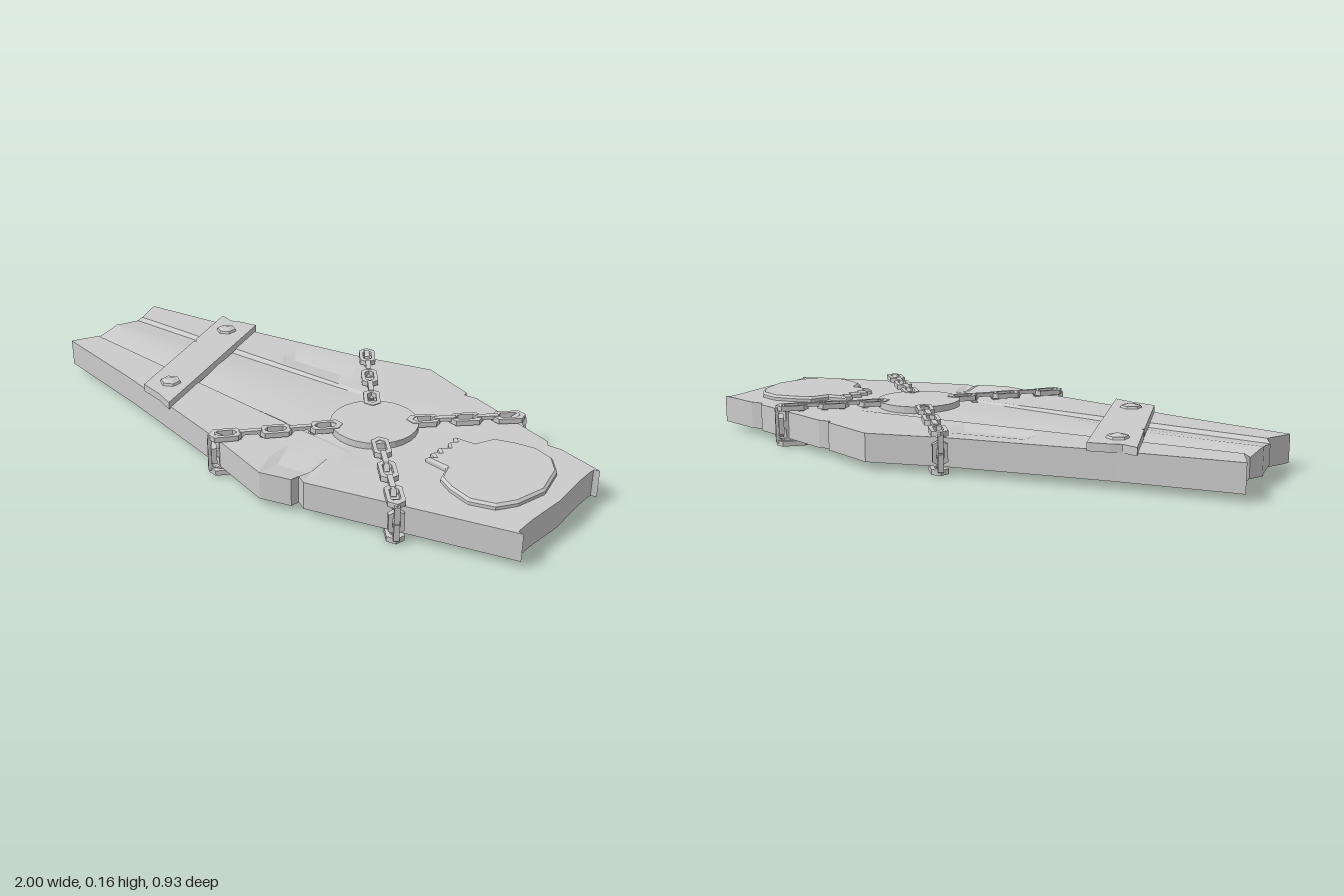
import * as THREE from 'three';
import { toCreasedNormals } from 'three/addons/utils/BufferGeometryUtils.js';

const mat = new THREE.MeshStandardMaterial({ color: 0xcccccc, side: THREE.DoubleSide });
const flat = new THREE.MeshStandardMaterial({ color: 0xcccccc, flatShading: true });
const Y0 = 0.032, Y1 = 0.128;

function addMesh(parent, name, geometry, material, x = 0, y = 0, z = 0) {
  const mesh = new THREE.Mesh(geometry, material);
  mesh.name = name;
  mesh.position.set(x, y, z);
  parent.add(mesh);
  return mesh;
}

// Piecewise linear lookup in a list of [x, value]
function lookup(list, x) {
  for (let i = 1; i < list.length; i++) {
    const [x0, a] = list[i - 1], [x1, b] = list[i];
    if (x <= x1) return a + (b - a) * (x - x0) / (x1 - x0);
  }
  return list[list.length - 1][1];
}

// Edge lines of the coffin outline, with chipped notches
const backEdge = [[-1, -0.22], [-0.6, -0.285], [-0.08, -0.39], [0.19, -0.47], [0.39, -0.402], [0.392, -0.384],
  [0.44, -0.39], [0.78, -0.287], [0.795, -0.265], [0.84, -0.27], [1, -0.23]];
const frontEdge = [[-1, 0.21], [-0.6, 0.28], [-0.06, 0.395], [0.19, 0.462], [0.295, 0.43], [0.3, 0.4],
  [0.335, 0.418], [1, 0.225]];

// Board lofted along x: each section is a row of columns from the back edge to the front edge
function boardGeometry() {
  const xs = new Set([...backEdge, ...frontEdge].map(p => p[0]));
  for (let i = 0; i <= 40; i++) xs.add(+(-1 + i * 0.05).toFixed(2));
  const stations = [...xs].sort((a, b) => a - b);
  const sections = stations.map((x, s) => {
    const groove = 0.1 + 0.055 * (x + 1);
    const depth = 0.014 * THREE.MathUtils.clamp((0.5 - x) / 0.9, 0, 1);
    const half = edge => {
      const e = Math.abs(edge), out = groove + 0.012;
      return [[e, 0], [e * 0.7 + out * 0.3, 0], [e * 0.35 + out * 0.65, 0], [out, 0],
        [groove, depth], [groove - 0.07, depth * 0.3]];
    };
    const row = [...half(lookup(backEdge, x)).map(([z, d]) => [-z, d]), [0, 0],
      ...half(lookup(frontEdge, x)).reverse()];
    return row.map(([z, d], c) => {
      let px = x;
      const k = Math.min(c, 12 - c);
      if (s === 0) px += [0, 0.012, 0.03, 0.045, 0.03, 0.025, 0.02][k];
      if (s === stations.length - 1) px -= [0, 0.008, 0.013, 0.018, 0.02, 0.02, 0.01][k];
      // Splintered dents near the wide part of the board
      if (c === 2 && x > -0.26 && x < -0.04) d += 0.012;
      if (c === 11 && x > 0.18 && x < 0.31) d += 0.012;
      return [px, z, d];
    });
  });
  const pos = [], n = 13;
  const top = p => [p[0], Y1 - p[2], p[1]], low = p => [p[0], Y0 + p[2], p[1]];
  const quad = (a, b, c, d) => pos.push(...a, ...b, ...c, ...a, ...c, ...d);
  for (let i = 0; i + 1 < sections.length; i++) {
    const A = sections[i], B = sections[i + 1];
    for (let j = 0; j + 1 < n; j++) {
      quad(top(A[j]), top(A[j + 1]), top(B[j + 1]), top(B[j]));
      quad(low(A[j]), low(B[j]), low(B[j + 1]), low(A[j + 1]));
    }
    quad(top(A[0]), top(B[0]), low(B[0]), low(A[0]));
    quad(top(A[n - 1]), low(A[n - 1]), low(B[n - 1]), top(B[n - 1]));
  }
  const S = sections[0], E = sections[sections.length - 1];
  for (let j = 0; j + 1 < n; j++) {
    quad(top(S[j]), low(S[j]), low(S[j + 1]), top(S[j + 1]));
    quad(top(E[j]), top(E[j + 1]), low(E[j + 1]), low(E[j]));
  }
  const g = new THREE.BufferGeometry();
  g.setAttribute('position', new THREE.Float32BufferAttribute(pos, 3));
  return toCreasedNormals(g, 0.25);
}

// Flat plate cut to an [x, z] outline, lying on the board
function plateGeometry(points, height, bevel = 0) {
  const shape = new THREE.Shape(points.map(([x, z]) => new THREE.Vector2(x, -z)));
  return new THREE.ExtrudeGeometry(shape, {
    depth: height - bevel, bevelEnabled: bevel > 0, bevelThickness: bevel,
    bevelSize: bevel, bevelOffset: -bevel, bevelSegments: 1,
  }).rotateX(-Math.PI / 2);
}

// Pointed hexagonal chain link, long axis x, standing upright in xy
function linkGeometry(length, width, thick) {
  const outline = (l, w) => [[-l, 0], [-l * 0.68, -w], [l * 0.68, -w], [l, 0], [l * 0.68, w], [-l * 0.68, w]]
    .map(p => new THREE.Vector2(...p));
  const shape = new THREE.Shape(outline(length / 2, width / 2));
  shape.holes.push(new THREE.Path(outline(length / 2 - 0.02, width / 2 - 0.013)));
  return new THREE.ExtrudeGeometry(shape, { depth: thick, bevelEnabled: false }).translate(0, 0, -thick / 2);
}

export function createModel() {
  const model = new THREE.Group();
  model.name = 'coffinShield';
  addMesh(model, 'board', boardGeometry(), mat);

  // Round boss running through the board
  const cx = 0.29;
  addMesh(model, 'centreDisc', new THREE.CylinderGeometry(0.147, 0.147, 0.137, 28), flat, cx, 0.081, 0);

  // Skull-shaped relief with jagged teeth
  const skull = [[0.545, -0.09], [0.62, -0.1], [0.65, -0.165], [0.72, -0.19], [0.79, -0.202], [0.86, -0.18],
    [0.91, -0.12], [0.938, 0], [0.91, 0.11], [0.87, 0.17], [0.79, 0.197], [0.71, 0.175], [0.655, 0.145],
    [0.635, 0.085], [0.55, 0.075], [0.572, 0.055], [0.545, 0.04], [0.568, 0.02], [0.545, 0], [0.572, -0.025],
    [0.55, -0.05], [0.568, -0.07]];
  addMesh(model, 'skullRelief', plateGeometry(skull, 0.032, 0.008), flat, 0, 0.115, 0);

  // Repair plank and its hexagonal bolts
  const plank = [[-0.685, -0.295], [-0.63, -0.28], [-0.595, -0.295], [-0.525, -0.312], [-0.325, 0.35],
    [-0.4, 0.325], [-0.49, 0.31], [-0.605, -0.05], [-0.598, -0.058], [-0.612, -0.07]];
  addMesh(model, 'repairPlank', plateGeometry(plank, 0.027), flat, 0, 0.124, 0);
  for (const [x, z] of [[-0.58, -0.205], [-0.432, 0.237]]) {
    addMesh(model, 'boltHead', new THREE.CylinderGeometry(0.034, 0.038, 0.008, 6), flat, x, 0.155, z);
    addMesh(model, 'boltCap', new THREE.CylinderGeometry(0.015, 0.026, 0.004, 6), flat, x, 0.161, z);
  }

  // Four chains from the boss, around the board's edge and back underneath
  const upright = linkGeometry(0.105, 0.05, 0.018);
  const lying = linkGeometry(0.115, 0.056, 0.018).rotateX(Math.PI / 2);
  const sideLink = linkGeometry(0.085, 0.05, 0.018).rotateZ(Math.PI / 2);
  for (const [ex, ez] of [[-0.055, 0.405], [0.635, 0.345]]) {
    for (const s of [-1, 1]) {
      const chain = new THREE.Group();
      chain.name = 'chain';
      chain.position.x = cx;
      chain.rotation.y = Math.atan2(-s * ez, ex - cx);
      const reach = Math.hypot(ex - cx, ez), count = 5, start = 0.165;
      for (let i = 0; i < count; i++) {
        const r = start + (reach - 0.035 - start) * i / (count - 1);
        const isLying = i % 2 === 0;
        for (const y of isLying ? [0.143, 0.018] : [0.13, 0.031]) {
          addMesh(chain, 'chainLink', isLying ? lying : upright, flat, r, y, 0);
        }
      }
      for (const y of [0.112, 0.05]) addMesh(chain, 'edgeLink', sideLink, flat, reach, y, 0);
      addMesh(chain, 'edgeJoint', sideLink.clone().rotateY(Math.PI / 2), flat, reach + 0.006, 0.081, 0);
      model.add(chain);
    }
  }
  return model;
}
